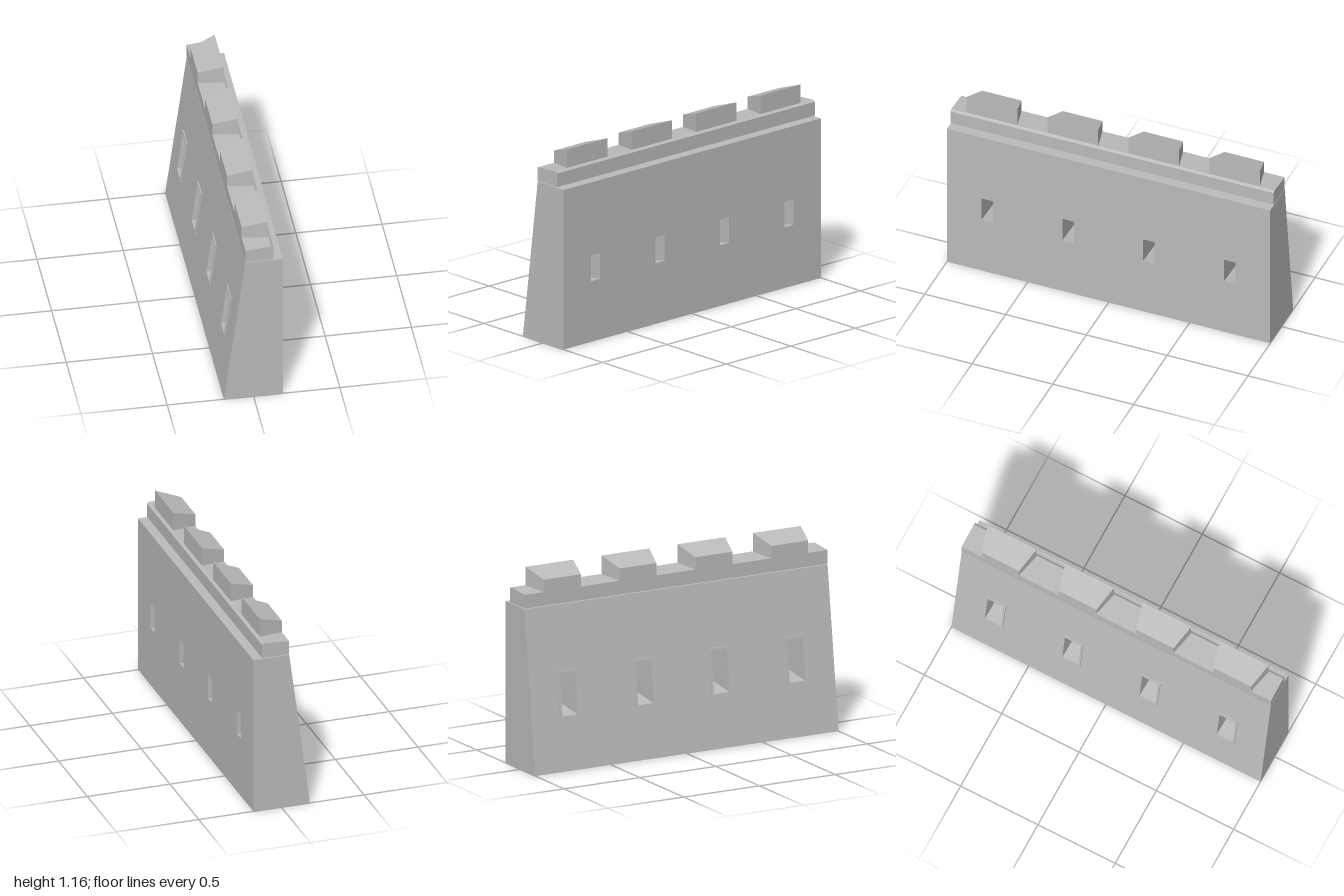
import * as THREE from 'three';

const TOP = 0.956;
const FRONT_X = 0.17;
const CENTRES = [-0.75, -0.25, 0.25, 0.75];

// x of the battered (sloping) wall face at a height
const slopeX = (y) => -0.172 + 0.125 * (y / TOP);

// Rectangle outline: centre c, half width w, from y0 to y1
function rect(Type, c, w, y0, y1) {
  const r = new Type();
  r.moveTo(c - w, y0);
  r.lineTo(c + w, y0);
  r.lineTo(c + w, y1);
  r.lineTo(c - w, y1);
  r.closePath();
  return r;
}

// Move every vertex of a geometry by a rule
function remap(geometry, rule) {
  const p = geometry.attributes.position;
  for (let i = 0; i < p.count; i++) p.setXYZ(i, ...rule(p.getX(i), p.getY(i), p.getZ(i)));
  geometry.computeVertexNormals();
  return geometry;
}

// Separate four-cornered faces, corners counter-clockwise
function quads(list) {
  const pos = [];
  for (const [a, b, c, d] of list) pos.push(...a, ...b, ...c, ...a, ...c, ...d);
  const g = new THREE.BufferGeometry();
  g.setAttribute('position', new THREE.Float32BufferAttribute(pos, 3));
  g.computeVertexNormals();
  return g;
}

export function createModel() {
  const stone = new THREE.MeshStandardMaterial({ color: 0xbbbbbb });
  stone.name = 'stone';
  stone.flatShading = true;
  stone.side = THREE.DoubleSide;

  const model = new THREE.Group();
  model.name = 'battlementWall';
  const add = (name, geometry) => {
    const mesh = new THREE.Mesh(geometry, stone);
    mesh.name = name;
    model.add(mesh);
    return mesh;
  };

  // Openings: a narrow slit on the upright face, a wide one on the sloping face
  const slit = { w: 0.036, y0: 0.363, y1: 0.518 };
  const wide = { w: 0.051, y0: 0.317, y1: 0.565 };
  const pierced = (o) => {
    const s = rect(THREE.Shape, 0, 1, 0, TOP);
    for (const c of CENTRES) s.holes.push(rect(THREE.Path, c, o.w, o.y0, o.y1));
    return new THREE.ShapeGeometry(s);
  };

  // Main wall faces, open underneath
  add('uprightFace', remap(pierced(slit), (u, y) => [FRONT_X, y, -u]));
  add('slopingFace', remap(pierced(wide), (u, y) => [slopeX(y), y, u]));
  const bl = slopeX(0), tl = slopeX(TOP);
  add('wallEndsAndTop', quads([
    [[bl, 0, 1], [FRONT_X, 0, 1], [FRONT_X, TOP, 1], [tl, TOP, 1]],
    [[FRONT_X, 0, -1], [bl, 0, -1], [tl, TOP, -1], [FRONT_X, TOP, -1]],
    [[tl, TOP, 1], [FRONT_X, TOP, 1], [FRONT_X, TOP, -1], [tl, TOP, -1]],
  ]));

  // Splayed window linings and their raised frames
  for (const c of CENTRES) {
    const ring = (o, x) => [[-1, o.y0], [1, o.y0], [1, o.y1], [-1, o.y1]]
      .map(([s, y]) => [x(y), y, c + s * o.w]);
    const outer = ring(wide, slopeX);
    const inner = ring(slit, () => FRONT_X);
    add('windowLining', quads(outer.map((p, i) => {
      const j = (i + 1) % 4;
      return [p, outer[j], inner[j], inner[i]];
    })));

    const border = rect(THREE.Shape, c, 0.064, 0.3, 0.58);
    border.holes.push(rect(THREE.Path, c, wide.w, wide.y0, wide.y1));
    const frame = new THREE.ExtrudeGeometry(border, { depth: 0.007, bevelEnabled: false });
    add('windowFrame', remap(frame, (u, y, d) => [slopeX(y) - d, y, u]));
  }

  // Parapet, with a small chamfer along its upper edge
  const profile = new THREE.Shape([
    [-0.047, 0.961], [0.117, 0.961], [0.117, 1.043], [0.103, 1.053], [-0.047, 1.042],
  ].map(([x, y]) => new THREE.Vector2(x, y)));
  const parapet = new THREE.ExtrudeGeometry(profile, { depth: 2, bevelEnabled: false });
  add('parapet', parapet.translate(0, 0, -1));

  // Merlons: tapered in plan with sloping tops
  for (const c of CENTRES) {
    const merlon = remap(new THREE.BoxGeometry(1, 1, 1), (x, y, z) => [
      x > 0 ? 0.099 : -0.047,
      y < 0 ? 1.035 : x > 0 ? 1.163 : 1.115,
      Math.sign(z) * (x > 0 ? 0.157 : 0.122),
    ]);
    add('merlon', merlon).position.z = c;
  }
  return model;
}
